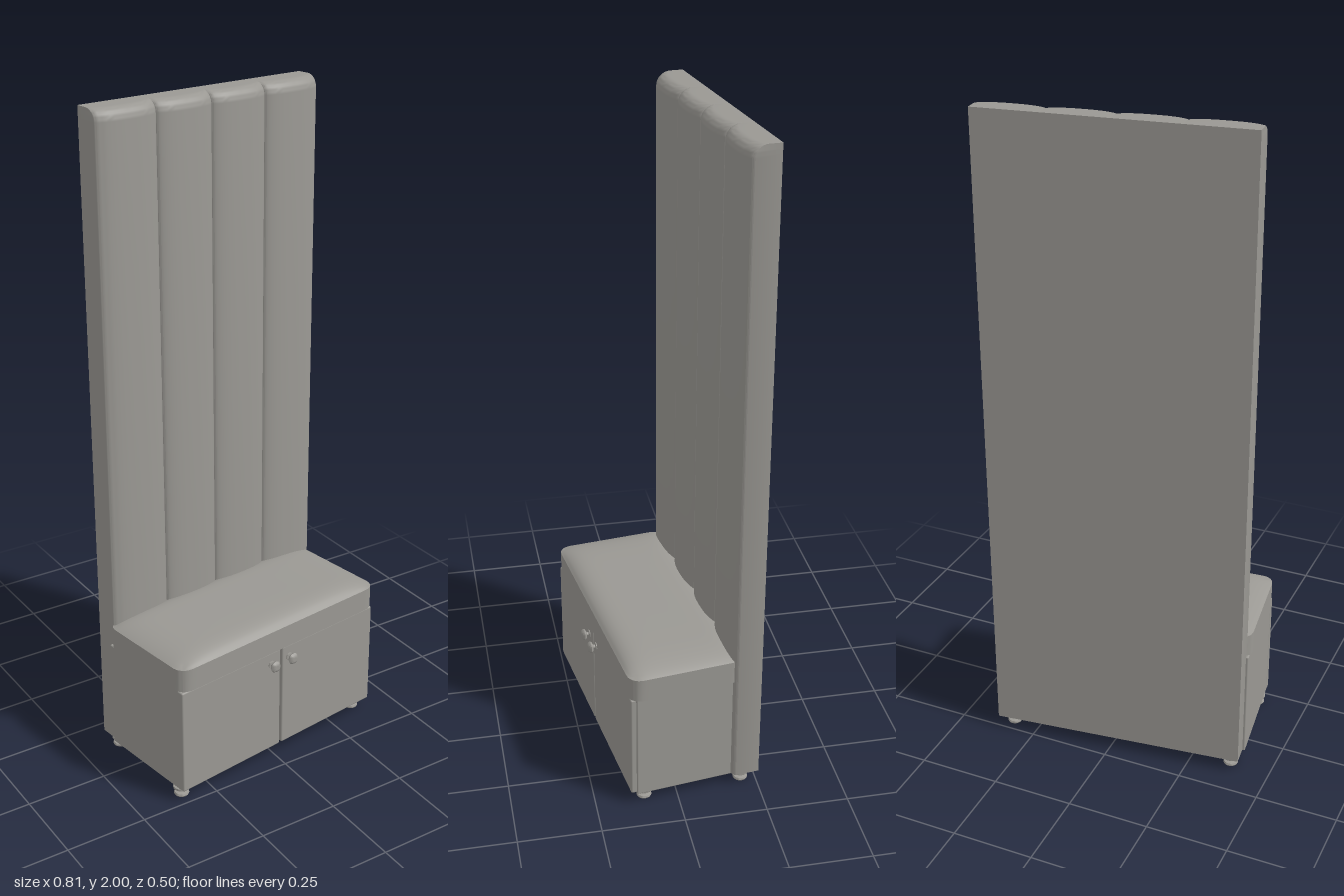
import * as THREE from 'three';
import { toCreasedNormals } from 'three/addons/utils/BufferGeometryUtils.js';
import { RoundedBoxGeometry } from 'three/addons/geometries/RoundedBoxGeometry.js';

const upholstery = new THREE.MeshStandardMaterial({ color: 0x9a9893 });
upholstery.name = 'warm grey';

function add(parent, name, geometry, x = 0, y = 0, z = 0) {
  const mesh = new THREE.Mesh(geometry, upholstery);
  mesh.name = name;
  mesh.position.set(x, y, z);
  parent.add(mesh);
  return mesh;
}

// Move every vertex of a geometry by a rule, then rebuild its normals
function deform(geometry, rule) {
  const p = geometry.attributes.position;
  const v = new THREE.Vector3();
  for (let i = 0; i < p.count; i++) {
    rule(v.fromBufferAttribute(p, i));
    p.setXYZ(i, v.x, v.y, v.z);
  }
  return toCreasedNormals(geometry, 0.6);
}

const ease = (t) => Math.sin(t * Math.PI / 2); // packs rows towards the edges

// One padded upright channel: bulged front, rounded top front edge
function channelGeometry(width) {
  const bottom = 0.04, top = 2, r = 0.035, back = -0.21, seam = -0.137, bulge = 0.023;
  return deform(new THREE.BoxGeometry(2, 1, 2, 20, 9, 1), (v) => {
    const s = ease(v.x);
    const row = Math.round((v.y + 0.5) * 9);
    const a = Math.max(0, row - 1) / 8 * Math.PI / 2;
    v.x = s * width / 2;
    v.y = row === 0 ? bottom : top - r + r * Math.sin(a);
    v.z = v.z < 0 ? back
      : seam + bulge * Math.pow(Math.max(0, 1 - Math.abs(s) ** 2.5), 0.6) - r * (1 - Math.cos(a));
  });
}

// Seat cushion: rounded corners in plan, gently domed top
function cushionGeometry(hx, hz, height, dome) {
  const r = 0.04;
  return deform(new THREE.BoxGeometry(2, 1, 2, 32, 1, 24), (v) => {
    const sx = ease(v.x), sz = ease(v.z);
    v.x = sx * hx;
    v.z = sz * hz;
    const dx = Math.abs(v.x) - (hx - r), dz = Math.abs(v.z) - (hz - r);
    if (dx > 0 && dz > 0) {
      const k = Math.max(dx, dz) / Math.hypot(dx, dz);
      v.x = Math.sign(v.x) * (hx - r + dx * k);
      v.z = Math.sign(v.z) * (hz - r + dz * k);
    }
    v.y = v.y < 0 ? 0 : height + dome * (1 - sx ** 8) * (1 - sz ** 8);
  });
}

function lathe(points) {
  const profile = points.map(([x, y]) => new THREE.Vector2(x, y));
  return toCreasedNormals(new THREE.LatheGeometry(profile, 24), 0.7);
}

export function createModel() {
  const model = new THREE.Group();
  model.name = 'hallBench';

  // Tall padded back panel
  const backPanel = new THREE.Group();
  backPanel.name = 'backPanel';
  backPanel.rotation.y = 0.117;
  model.add(backPanel);
  const seams = [-0.386, -0.185, 0.006, 0.199, 0.396];
  for (let i = 0; i < 4; i++) {
    add(backPanel, 'paddedChannel', channelGeometry(seams[i + 1] - seams[i]), (seams[i] + seams[i + 1]) / 2);
  }

  // Bench cabinet with two doors
  const bench = new THREE.Group();
  bench.name = 'bench';
  bench.rotation.y = 0.135;
  model.add(bench);
  add(bench, 'cabinet', new RoundedBoxGeometry(0.774, 0.348, 0.335, 2, 0.004), -0.004, 0.21, 0.0125);
  for (const side of [-1, 1]) {
    add(bench, 'door', new RoundedBoxGeometry(0.381, 0.342, 0.025, 3, 0.005), -0.008 + side * 0.1945, 0.21, 0.184);
  }

  // Door knobs
  const knob = lathe([[0, -0.002], [0.012, -0.002], [0.012, 0.003], [0.006, 0.005], [0.006, 0.01],
    [0.015, 0.014], [0.018, 0.019], [0.014, 0.025], [0.007, 0.028], [0, 0.029]]);
  for (const side of [-1, 1]) {
    add(bench, 'knob', knob, -0.012 + side * 0.036, 0.34, 0.196).rotation.x = Math.PI / 2;
  }

  // Cushion
  add(bench, 'seatCushion', cushionGeometry(0.392, 0.178, 0.072, 0.027), -0.004, 0.381, 0.022);

  // Feet
  const foot = lathe([[0, 0], [0.021, 0], [0.023, 0.004], [0.021, 0.009], [0.01, 0.012],
    [0.01, 0.02], [0.025, 0.023], [0.025, 0.03], [0.012, 0.033], [0.012, 0.045]]);
  for (const [x, z] of [[-0.343, 0.2], [0.363, 0.1], [-0.372, -0.125], [0.337, -0.205]]) {
    add(model, 'foot', foot, x, 0, z);
  }
  return model;
}
